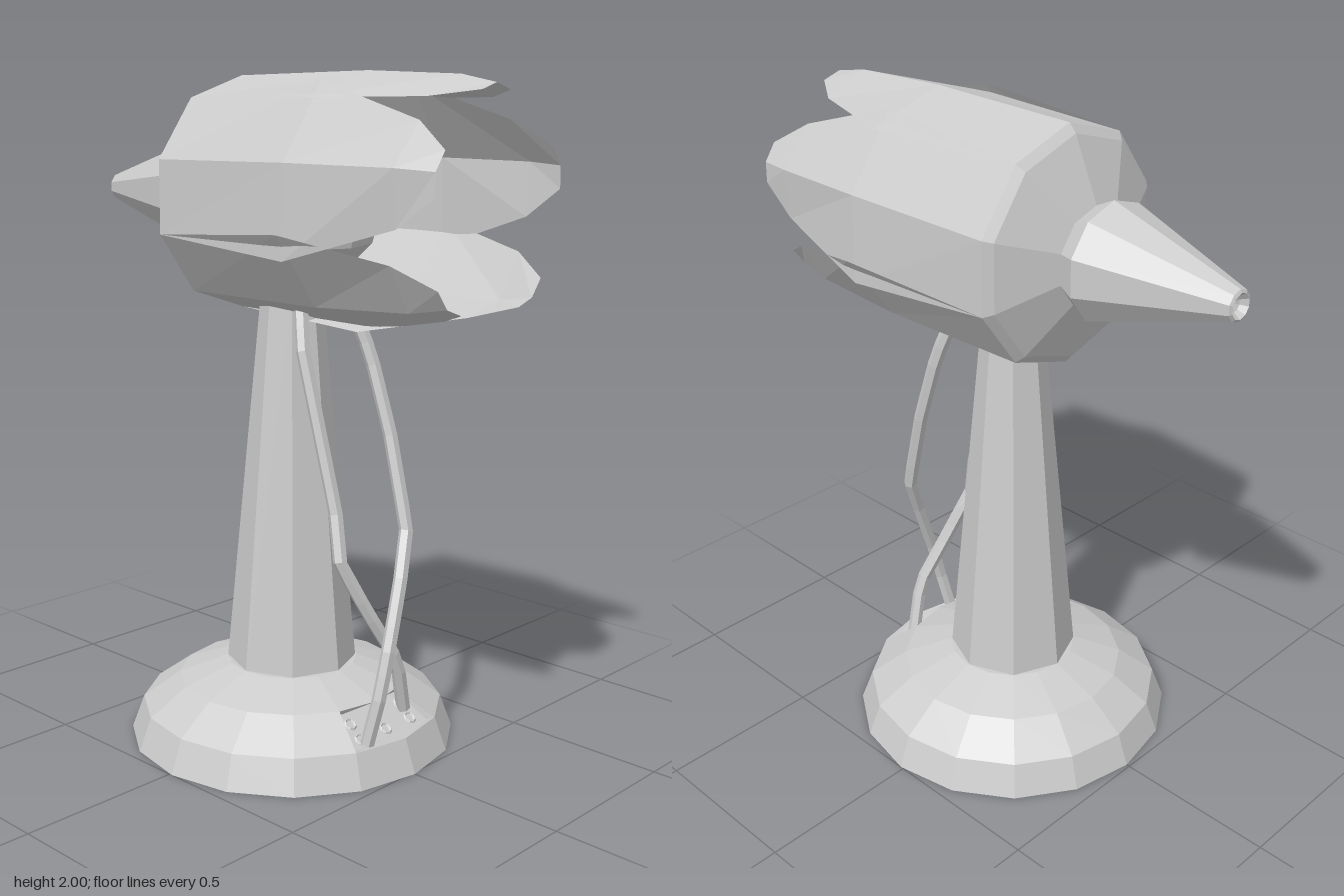
import * as THREE from 'three';

const material = new THREE.MeshStandardMaterial({
  color: 0xcccccc, flatShading: true, side: THREE.DoubleSide,
});
const AXIS_Y = 1.65; // height of the horizontal body axis
const V2 = (x, y) => new THREE.Vector2(x, y);

function add(parent, name, geometry) {
  const mesh = new THREE.Mesh(geometry, material);
  mesh.name = name;
  parent.add(mesh);
  return mesh;
}

// Surface through rows of equally many [x, y, z] points
function sheet(rows) {
  const n = rows[0].length, index = [];
  for (let r = 0; r < rows.length - 1; r++) {
    for (let c = 0; c < n - 1; c++) {
      const a = r * n + c;
      index.push(a, a + n, a + 1, a + 1, a + n, a + n + 1);
    }
  }
  const g = new THREE.BufferGeometry();
  g.setAttribute('position', new THREE.Float32BufferAttribute(rows.flat(2), 3));
  g.setIndex(index);
  g.computeVertexNormals();
  return g;
}

// Ten-sided turned shape along x, from [x, radius] pairs
function turned(profile) {
  const pts = profile.map(([x, r]) => V2(r, -x));
  return new THREE.LatheGeometry(pts, 10, Math.PI / 2).rotateZ(Math.PI / 2);
}

function createBase() {
  const base = new THREE.Group();
  base.name = 'base';
  base.position.x = 0.01;
  const [r1, y1, r2, y2] = [0.463, 0.1, 0.35, 0.182];

  // Dome, with two facets on the +x side left open for the socket recess
  const profile = [V2(0, 0), V2(0.5, 0), V2(r1, y1), V2(r2, y2), V2(0.2, 0.235), V2(0, 0.235)];
  const dome = new THREE.LatheGeometry(profile, 16);
  const p = dome.attributes.position, idx = dome.index.array, kept = [];
  for (let i = 0; i < idx.length; i += 3) {
    const t = [idx[i], idx[i + 1], idx[i + 2]];
    const mean = (get) => t.reduce((s, v) => s + get(v) / 3, 0);
    const x = mean((v) => p.getX(v)), y = mean((v) => p.getY(v)), z = mean((v) => p.getZ(v));
    const open = y > y1 + 0.01 && y < y2 - 0.01 && Math.abs(Math.atan2(z, x)) < Math.PI / 8;
    if (!open) kept.push(...t);
  }
  dome.setIndex(kept);
  add(base, 'dome', dome);

  // Recess walls and sloping socket panel
  const angles = [-Math.PI / 8, 0, Math.PI / 8];
  const arc = (r, y) => angles.map((a) => [r * Math.cos(a), y, r * Math.sin(a)]);
  const line = (x, y, w) => [-w, 0, w].map((z) => [x, y, z]);
  const low = line(0.405, 0.09, 0.165), high = line(0.315, 0.165, 0.13);
  const loop = (a, b) => [...a, ...[...b].reverse(), a[0]];
  add(base, 'recessWalls', sheet([loop(arc(r1, y1), arc(r2, y2)), loop(low, high)]));
  add(base, 'socketPanel', sheet([low, high]));

  // Two rows of three round sockets
  for (const t of [0.22, 0.68]) {
    for (const z of [-0.11, 0, 0.11]) {
      const s = add(base, 'socket', new THREE.TorusGeometry(0.017, 0.005, 4, 8));
      s.position.set(0.405 - 0.09 * t, 0.09 + 0.075 * t, z);
      s.lookAt(s.position.x + 0.075, s.position.y + 0.09, z);
    }
  }
  return base;
}

function createBody() {
  const body = new THREE.Group();
  body.name = 'body';
  body.position.y = AXIS_Y;

  // Nose cone with a hollow tip
  add(body, 'nose', turned([[-0.3, 0.143], [-0.36, 0.172], [-0.775, 0.045],
    [-0.78, 0.036], [-0.76, 0.022], [-0.75, 0]]));

  // Sloping shoulder between nose and petals
  add(body, 'shoulder', turned([[-0.2, 0.345], [-0.222, 0.32], [-0.3, 0.143]]));

  // Faceted ball inside the petals
  add(body, 'core', new THREE.SphereGeometry(0.28, 8, 6));

  // Five ridged petals: [x, ridge radius, edge radius, half width]
  const sections = [
    [-0.2, 0.345, 0.279, 0.203],
    [0.3, 0.35, 0.276, 0.247],
    [0.62, 0.335, 0.277, 0.14],
    [0.735, 0.312, 0.294, 0.06],
  ];
  for (let i = 0; i < 5; i++) {
    const reach = i === 1 ? 0.045 : 0; // the petal at the front left is longer
    const rows = sections.map(([x, ridge, edge, w], k) => {
      const px = x + (k > 1 ? reach : 0);
      return [[px, edge, -w], [px, ridge, 0], [px, edge, w]];
    });
    add(body, 'petal', sheet(rows).rotateX((i * Math.PI * 2) / 5));
  }
  return body;
}

// Kinked cable through a few points
function cable(points) {
  const curve = new THREE.CurvePath();
  const v = points.map((q) => new THREE.Vector3(...q));
  for (let i = 1; i < v.length; i++) curve.add(new THREE.LineCurve3(v[i - 1], v[i]));
  return new THREE.TubeGeometry(curve, 20, 0.021, 6);
}

export function createModel() {
  const model = new THREE.Group();
  model.name = 'pedestalDevice';
  model.add(createBase(), createBody());

  // Tapered eight-sided column
  const column = add(model, 'column', new THREE.CylinderGeometry(0.092, 0.198, 1.13, 8));
  column.rotation.y = Math.PI / 2;
  column.position.set(0.008, 0.795, 0);

  // Two crossing cables from the body to the sockets
  add(model, 'innerCable', cable([
    [0.09, 1.41, 0.05], [0.145, 1.22, 0.095], [0.27, 0.76, 0.088], [0.31, 0.62, 0.11],
    [0.35, 0.47, 0.04], [0.385, 0.3, -0.06], [0.37, 0.13, -0.11],
  ]));
  add(model, 'outerCable', cable([
    [0.17, 1.43, -0.03], [0.25, 1.2, -0.08], [0.32, 0.97, -0.09], [0.395, 0.7, -0.08],
    [0.425, 0.56, -0.02], [0.445, 0.38, 0.05], [0.445, 0.25, 0.085], [0.42, 0.1, 0.11],
  ]));
  return model;
}
